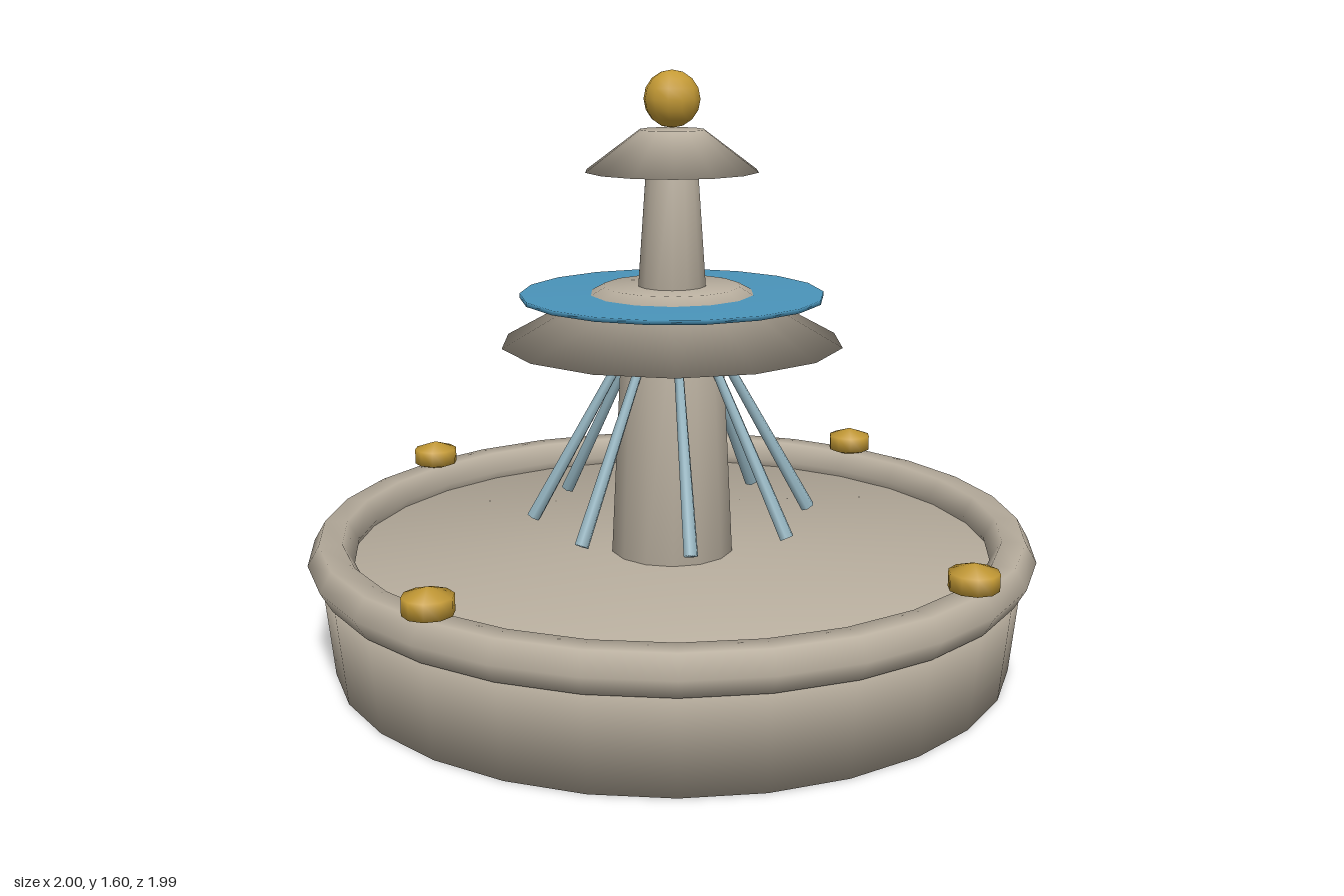
import * as THREE from 'three';
import { mergeVertices } from 'three/addons/utils/BufferGeometryUtils.js';

const material = (color) => new THREE.MeshStandardMaterial({ color });

// Share vertices across edges so the shading runs smoothly from sides to caps
function smooth(geometry) {
  geometry.deleteAttribute('normal');
  geometry.deleteAttribute('uv');
  const merged = mergeVertices(geometry, 1e-4);
  merged.computeVertexNormals();
  return merged;
}

export function createModel() {
  const group = new THREE.Group();
  const stone = material(0xb8ae9e);
  const gold = material(0xc49a35);
  const water = material(0x4a94ba);
  const jetWater = material(0x94b4c0);

  const add = (name, geometry, mat, x = 0, y = 0, z = 0) => {
    const mesh = new THREE.Mesh(smooth(geometry), mat);
    mesh.name = name;
    mesh.position.set(x, y, z);
    group.add(mesh);
    return mesh;
  };

  // Capped round section standing between two heights
  const drum = (name, rBottom, rTop, y0, y1, sides, mat = stone) =>
    add(name, new THREE.CylinderGeometry(rTop, rBottom, y1 - y0, sides), mat, 0, (y0 + y1) / 2, 0);

  // Basin with a six-sided rolled rim
  drum('basin', 0.935, 0.964, 0, 0.288, 28);
  const rim = add('basinRim', new THREE.TorusGeometry(0.935, 0.062, 6, 28), stone, 0, 0.312, 0);
  rim.rotation.x = Math.PI / 2;

  // Central columns and the two sloped tiers
  drum('lowerColumn', 0.172, 0.14, 0.26, 0.9, 14);
  drum('middleTier', 0.466, 0.187, 0.876, 1.03, 14);
  drum('waterDisc', 0.412, 0.412, 0.998, 1.01, 18, water);
  drum('upperColumn', 0.094, 0.07, 1.02, 1.36, 14);
  drum('topTier', 0.235, 0.087, 1.338, 1.448, 14);

  // Finial ball
  add('finial', new THREE.SphereGeometry(0.076, 12, 8), gold, 0, 1.528, 0);

  // Four flattened, faceted ornaments on the rim
  for (let i = 0; i < 4; i++) {
    const a = (i * Math.PI) / 2;
    const ball = add('rimOrnament', new THREE.SphereGeometry(0.074, 10, 3), gold,
      0.935 * Math.cos(a), 0.395, 0.935 * Math.sin(a));
    ball.scale.y = 0.6;
  }

  // Eight slanted water jets below the middle tier
  for (let i = 0; i < 8; i++) {
    const a = (i * Math.PI) / 4;
    const at = (r, y) => new THREE.Vector3(r * Math.cos(a), y, r * Math.sin(a));
    const top = at(0.115, 0.875);
    const bottom = at(0.385, 0.39);
    const axis = top.clone().sub(bottom);
    const mid = top.clone().add(bottom).multiplyScalar(0.5);
    const jet = add('waterJet', new THREE.CylinderGeometry(0.0125, 0.02, axis.length(), 6),
      jetWater, mid.x, mid.y, mid.z);
    jet.quaternion.setFromUnitVectors(new THREE.Vector3(0, 1, 0), axis.normalize());
  }

  return group;
}
